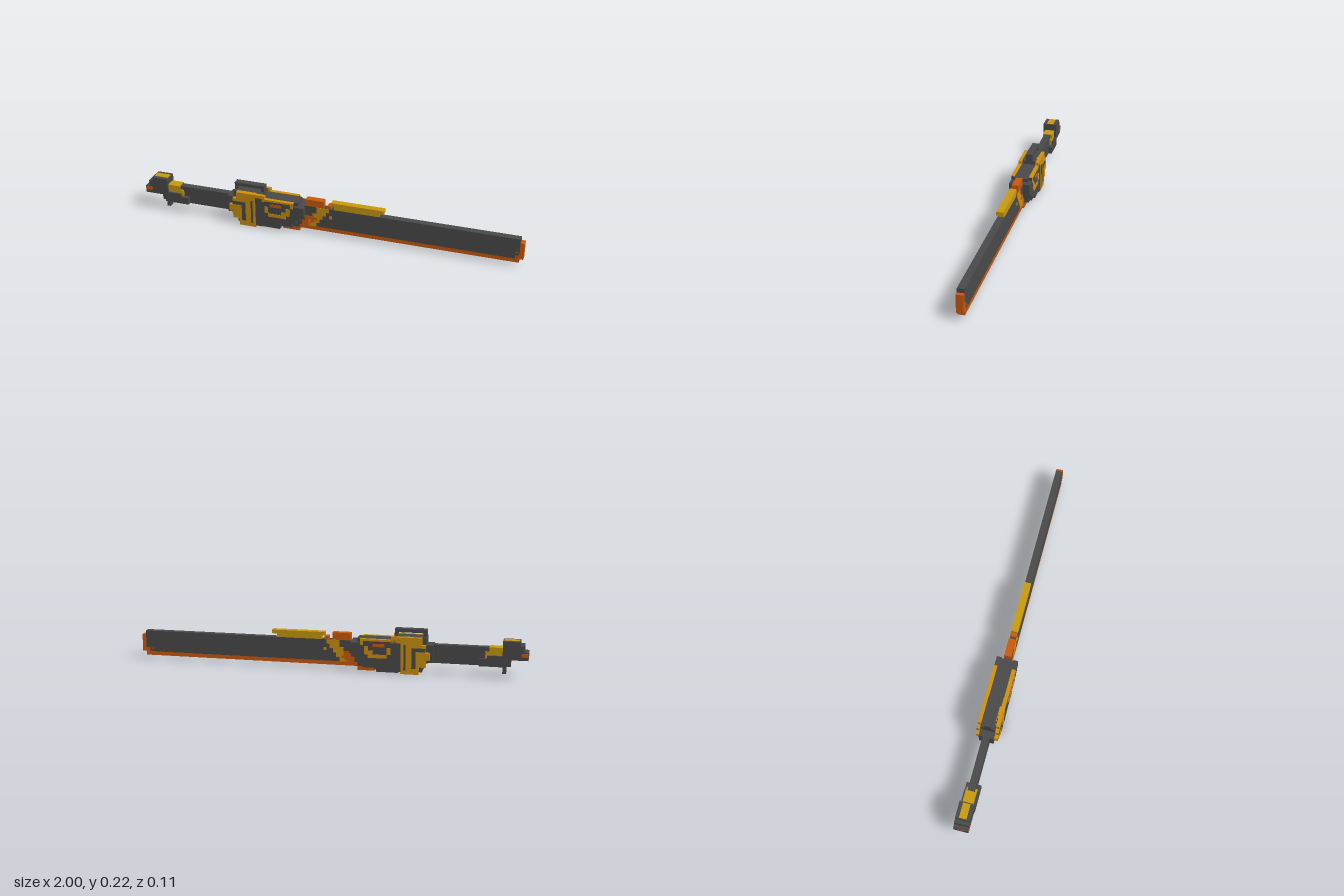
import * as THREE from 'three';

const U = 0.0187; // voxel size

// Turns slanted edges of an outline into voxel stairs
function stepped(points) {
  const out = [];
  points.forEach(([x0, y0], i) => {
    const [x1, y1] = points[(i + 1) % points.length];
    const dx = x1 - x0, dy = y1 - y0;
    out.push(new THREE.Vector2(x0, y0));
    if (!dx || !dy) return;
    const n = Math.max(1, Math.round(Math.min(Math.abs(dx), Math.abs(dy)) / U));
    for (let k = 0; k < n; k++) {
      out.push(new THREE.Vector2(x0 + dx * (k + 1) / n, y0 + dy * k / n));
      if (k < n - 1) out.push(new THREE.Vector2(x0 + dx * (k + 1) / n, y0 + dy * (k + 1) / n));
    }
  });
  return out;
}

const rect = (x0, x1, y0, y1) => [[x0, y0], [x1, y0], [x1, y1], [x0, y1]];

export function createModel() {
  const root = new THREE.Group();
  root.name = 'sword';
  const material = (name, color) => {
    const m = new THREE.MeshStandardMaterial({ color });
    m.name = name;
    return m;
  };
  const dark = material('dark steel', 0x4a4a4a);
  const yellow = material('yellow', 0xc99a10);
  const amber = material('amber', 0xd0920f);
  const orange = material('orange', 0xcc5a0c);

  // Extrudes a stepped outline between two depths
  function slab(name, mat, points, z0, z1, hole) {
    const shape = new THREE.Shape(stepped(points));
    if (hole) shape.holes.push(new THREE.Path(stepped(hole)));
    const geo = new THREE.ExtrudeGeometry(shape, { depth: z1 - z0, bevelEnabled: false });
    geo.translate(0, 0, z0);
    const mesh = new THREE.Mesh(geo, mat);
    mesh.name = name;
    root.add(mesh);
  }
  const centred = (name, mat, points, half, hole) => slab(name, mat, points, -half, half, hole);
  function sides(name, mat, points, z0, z1) {
    slab(name + 'Front', mat, points, z0, z1);
    slab(name + 'Back', mat, points, -z1, -z0);
  }
  const paint = (name, mat, points, z) => sides(name, mat, points, z - 0.002, z + 0.002);

  // Blade with its cutting edge and tip
  centred('blade', dark, [[-0.34, 0.02], [-0.15, 0.02], [-0.15, 0.04], [0.94, 0.04], [0.98, 0.08],
    [0.98, 0.15], [-0.34, 0.15]], 0.0175);
  centred('cuttingEdge', orange, rect(-0.15, 0.98, 0.02, 0.04), 0.0175);
  centred('rearEdge', orange, rect(-0.24, -0.15, 0, 0.02), 0.0175);
  centred('bladeTip', orange, [[0.94, 0.04], [1, 0.04], [1, 0.13], [0.98, 0.13], [0.98, 0.08]], 0.0175);

  // Spine pieces above the blade
  centred('spineBlock', orange, rect(-0.115, -0.02, 0.15, 0.187), 0.0175);
  centred('spineTooth', orange, rect(0, 0.02, 0.15, 0.168), 0.0175);
  centred('spineToothSmall', amber, rect(0.02, 0.035, 0.168, 0.187), 0.0175);
  centred('spineRail', yellow, [[0.035, 0.15], [0.27, 0.15], [0.27, 0.168], [0.295, 0.168],
    [0.295, 0.187], [0.035, 0.187]], 0.0175);

  // Slanted stripe on the blade
  paint('stripe', amber, [[-0.1, 0.04], [-0.075, 0.04], [0.01, 0.15], [-0.035, 0.15]], 0.0175);
  paint('stripeFoot', orange, [[-0.135, 0.04], [-0.1, 0.04], [-0.05, 0.095], [-0.1, 0.095]], 0.0175);
  paint('stripeSpeck', amber, rect(0.01, 0.025, 0.095, 0.11), 0.0175);

  // Grip and pommel
  centred('grip', dark, rect(-0.88, -0.5, 0.057, 0.15), 0.0175);
  centred('pommel', dark, [[-1, 0.095], [-0.875, 0.095], [-0.875, 0.187], [-0.96, 0.187],
    [-0.96, 0.168], [-0.98, 0.168], [-0.98, 0.135], [-1, 0.135]], 0.037);
  centred('gripCollar', dark, [[-0.89, 0.057], [-0.76, 0.057], [-0.76, 0.095], [-0.8, 0.112],
    [-0.89, 0.112]], 0.037);
  centred('pommelProng', dark, rect(-0.893, -0.875, 0.02, 0.1), 0.0175);
  centred('pommelSpur', dark, rect(-0.915, -0.875, 0.057, 0.1), 0.0175);
  centred('gripShoulder', yellow, [[-0.875, 0.112], [-0.835, 0.112], [-0.835, 0.097], [-0.79, 0.097],
    [-0.79, 0.13], [-0.81, 0.152], [-0.875, 0.152]], 0.026);
  centred('pommelTopStripe', yellow, rect(-0.955, -0.88, 0.183, 0.189), 0.0185);
  paint('pommelLight', orange, rect(-1, -0.965, 0.112, 0.13), 0.037);
  const cap = new THREE.Mesh(new THREE.BoxGeometry(0.004, 0.02, 0.037), orange);
  cap.name = 'pommelEndLight';
  cap.position.set(-0.999, 0.12, 0);
  root.add(cap);

  // Guard core, side plates and top loop
  centred('guardCore', dark, [[-0.48, 0.01], [-0.34, 0.01], [-0.34, 0.187], [-0.5, 0.187],
    [-0.5, 0.15], [-0.535, 0.15], [-0.535, 0.06], [-0.48, 0.06]], 0.037);
  sides('guardPlate', amber, [[-0.465, 0], [-0.375, 0], [-0.375, 0.187], [-0.48, 0.187], [-0.48, 0.15],
    [-0.5, 0.15], [-0.5, 0.112], [-0.52, 0.112], [-0.52, 0.075], [-0.5, 0.075], [-0.5, 0.038],
    [-0.465, 0.02]], 0.03, 0.055);
  sides('guardRib', dark, rect(-0.375, -0.34, 0.01, 0.17), 0.03, 0.055);
  paint('guardGroove', dark, [[-0.45, 0.03], [-0.43, 0.03], [-0.43, 0.135], [-0.5, 0.135],
    [-0.5, 0.117], [-0.45, 0.117]], 0.055);
  paint('guardSlot', dark, rect(-0.4, -0.39, 0.02, 0.15), 0.055);
  centred('topLoop', dark, rect(-0.5, -0.34, 0.165, 0.223), 0.0175, rect(-0.483, -0.355, 0.187, 0.205));

  // Receiver with stair-shaped underside
  centred('receiverCore', dark, [[-0.36, 0], [-0.25, 0], [-0.25, 0.02], [-0.2, 0.02], [-0.12, 0.1],
    [-0.12, 0.15], [-0.15, 0.168], [-0.36, 0.168]], 0.036);
  sides('receiverCheek', dark, [[-0.34, 0.02], [-0.24, 0.02], [-0.24, 0.04], [-0.2, 0.04], [-0.115, 0.112],
    [-0.115, 0.15], [-0.17, 0.15], [-0.17, 0.168], [-0.34, 0.168]], 0.03, 0.055);
  sides('receiverTopTrim', amber, rect(-0.375, -0.325, 0.155, 0.187), 0.037, 0.055);
  sides('receiverTopRail', amber, rect(-0.325, -0.17, 0.16, 0.17), 0.037, 0.056);
  paint('receiverWindow', amber, [[-0.325, 0.13], [-0.325, 0.095], [-0.305, 0.075], [-0.23, 0.075],
    [-0.19, 0.11], [-0.19, 0.135], [-0.21, 0.135], [-0.21, 0.112], [-0.235, 0.093],
    [-0.305, 0.093], [-0.305, 0.13]], 0.055);
  paint('receiverLight', orange, rect(-0.295, -0.235, 0.132, 0.148), 0.055);
  paint('receiverCorner', amber, rect(-0.185, -0.17, 0.14, 0.165), 0.055);
  return root;
}
